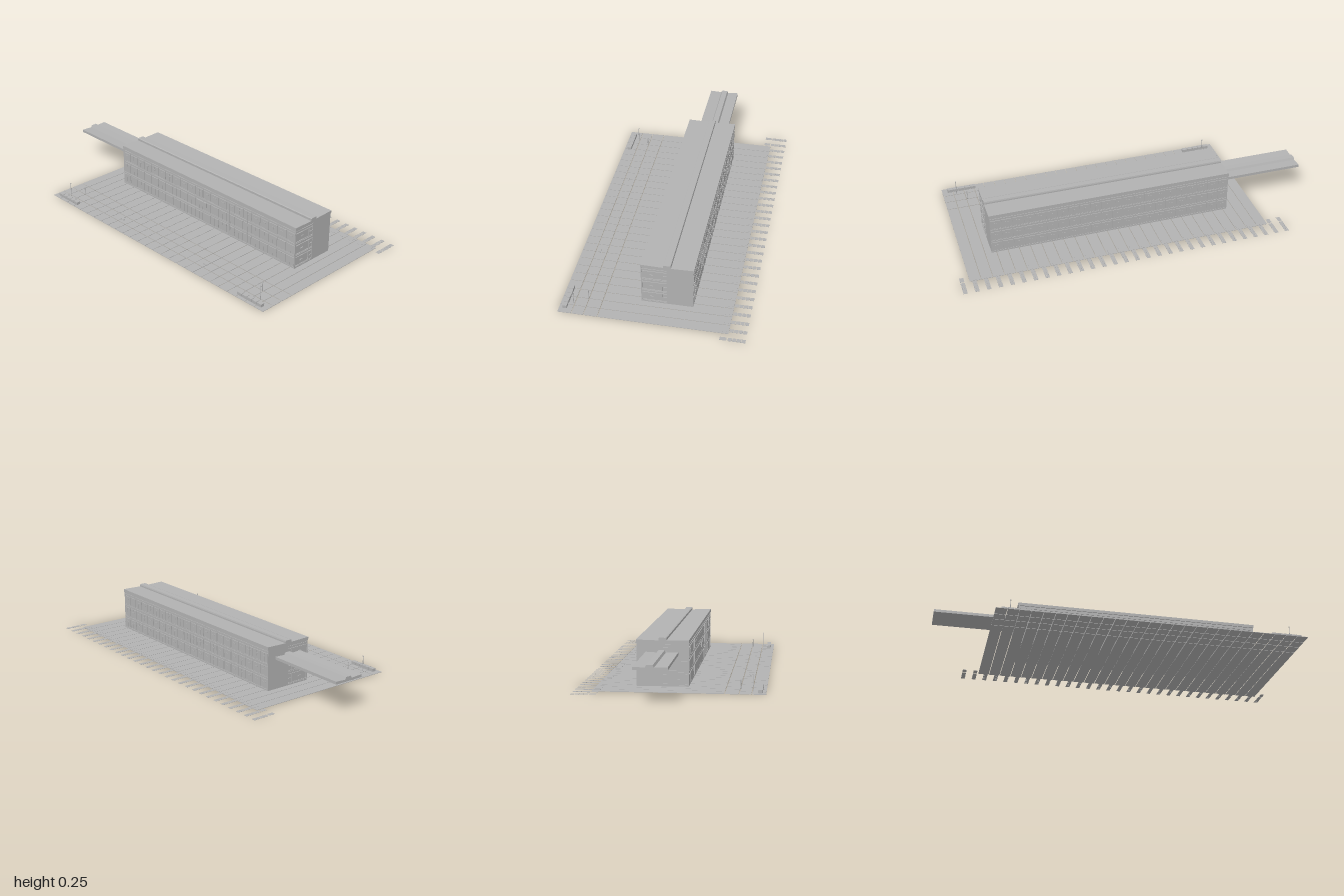
import * as THREE from 'three';

const concrete = new THREE.MeshStandardMaterial({ color: 0xb2b2b2 });
concrete.name = 'concrete grey';

// Box given by its minimum and maximum corners
function block(parent, name, x0, x1, y0, y1, z0, z1) {
  const mesh = new THREE.Mesh(new THREE.BoxGeometry(x1 - x0, y1 - y0, z1 - z0), concrete);
  mesh.position.set((x0 + x1) / 2, (y0 + y1) / 2, (z0 + z1) / 2);
  mesh.name = name;
  parent.add(mesh);
  return mesh;
}

function section(parent, name) {
  const group = new THREE.Group();
  group.name = name;
  parent.add(group);
  return group;
}

// Constant [z, y] cross-section swept from x0 to x1
function sweep(parent, name, points, x0, x1) {
  const shape = new THREE.Shape(points.map(([z, y]) => new THREE.Vector2(-z, y)));
  const geometry = new THREE.ExtrudeGeometry(shape, { depth: x1 - x0, bevelEnabled: false });
  geometry.rotateY(Math.PI / 2).translate(x0, 0, 0);
  const mesh = new THREE.Mesh(geometry, concrete);
  mesh.name = name;
  parent.add(mesh);
}

const X0 = -0.55, X1 = 0.79, FRONT = 0.08, BACK = -0.187;
const floors = [[0.012, 0.064], [0.08, 0.133], [0.152, 0.203]];

function addPaving(model) {
  const paving = section(model, 'paving');
  const rows = [[-0.39, 0.27], [0.274, 0.342], [0.346, 0.404], [0.408, 0.477]];
  const pitch = 1.66 / 27;
  for (let i = 0; i < 27; i++) {
    const x = -0.71 + i * pitch;
    for (const [z0, z1] of rows) block(paving, 'pavingSlab', x, x + pitch - 0.003, 0, 0.002, z0, z1);
  }
  // Rows of small flat stones along the back edge
  const strips = section(model, 'backStrips');
  for (let i = 0; i < 30; i++) {
    const x = -0.79 + i * 0.0612;
    block(strips, 'stripEnd', x - 0.011, x + 0.011, 0.002, 0.0028, -0.386, -0.352);
    for (let j = 0; j < 4; j++) {
      const z = -0.48 + j * 0.0225;
      block(strips, 'stripStone', x - 0.011, x + 0.011, 0.001, 0.002, z, z + 0.0205);
    }
  }
}

function addBuilding(model) {
  const building = section(model, 'building');
  block(building, 'core', X0 + 0.003, X1 - 0.003, 0.004, 0.236, BACK + 0.003, FRONT - 0.003);
  // Floor bands between storeys
  for (const [y0, y1] of [[0.002, 0.009], [0.068, 0.076], [0.138, 0.147], [0.208, 0.216]])
    block(building, 'floorBand', X0, X1, y0, y1, BACK, FRONT);

  // Long facades: one panel per bay and storey, with slim mullions and sills
  const bays = 22, pitch = (X1 - X0) / bays;
  for (const side of [1, -1]) {
    const facade = section(building, side > 0 ? 'frontFacade' : 'backFacade');
    const face = side > 0 ? FRONT : BACK;
    const span = (inner, outer) => [face + side * inner, face + side * outer].sort((a, b) => a - b);
    floors.forEach(([y0, y1], level) => {
      for (let i = 0; i < bays; i++) {
        const x = X0 + i * pitch;
        block(facade, 'windowPanel', x + 0.003, x + pitch - 0.003, y0, y1, ...span(-0.004, 0.001));
        block(facade, 'mullion', x + pitch / 2 - 0.001, x + pitch / 2 + 0.001, y0, y1, ...span(0, 0.002));
        if (level === 2 || side < 0) {
          const y = y0 + 0.032;
          block(facade, 'transom', x + 0.02, x + pitch - 0.02, y, y + 0.004, ...span(0, 0.003));
        }
      }
      block(facade, 'sill', X0 + 0.004, X1 - 0.004, y0, y0 + 0.003, ...span(0, 0.002));
    });
  }
  for (const x of [0.32, 0.455])
    block(building, 'downpipe', x - 0.003, x + 0.003, 0.01, 0.205, FRONT, FRONT + 0.004);
  block(building, 'wallBoard', 0.08, 0.155, 0.11, 0.137, FRONT + 0.006, FRONT + 0.011);
  for (const x of [0.09, 0.145])
    block(building, 'boardBracket', x - 0.002, x + 0.002, 0.12, 0.126, FRONT - 0.002, FRONT + 0.007);

  // End walls: glazed towards the front, solid towards the back
  for (const side of [1, -1]) {
    const end = section(building, side > 0 ? 'leftEndWall' : 'rightEndWall');
    const face = side > 0 ? X1 : X0;
    const plate = (name, depth, y0, y1, z0, z1) => {
      const [a, b] = [face - side * 0.004, face + side * depth].sort((p, q) => p - q);
      block(end, name, a, b, y0, y1, z0, z1);
    };
    plate('solidWall', 0, 0.004, 0.236, BACK, -0.052);
    plate('cornerPost', 0, 0.004, 0.236, 0.074, FRONT);
    for (const [y0, y1] of floors) {
      plate('mullion', 0.001, y0, y1, -0.028, -0.023);
      plate('windowHead', 0.001, y1 - 0.003, y1, -0.052, 0.074);
      plate('windowSill', 0.001, y0, y0 + 0.003, -0.052, 0.074);
      for (const z of [0.027, -0.043])
        plate('windowBar', 0.001, y0 + 0.022, y0 + 0.028, z - 0.009, z + 0.009);
    }
  }

  // Roof with a slight fall on both sides of a continuous ridge duct
  sweep(building, 'roof', [
    [FRONT + 0.002, 0.224], [FRONT + 0.002, 0.241], [-0.034, 0.238], [-0.074, 0.238],
    [BACK - 0.003, 0.241], [BACK - 0.003, 0.224],
  ], X0 - 0.002, X1 + 0.002);
  sweep(building, 'roofRidge', [
    [-0.034, 0.236], [-0.034, 0.25], [-0.04, 0.252], [-0.072, 0.252], [-0.074, 0.245], [-0.074, 0.236],
  ], X0 - 0.002, X1 + 0.002);
}

// Covered bridge reaching out from the end wall
function addBridge(model) {
  const bridge = section(model, 'bridge');
  sweep(bridge, 'bridgeDeck', [
    [0.028, 0.164], [0.028, 0.179], [-0.037, 0.176], [-0.043, 0.188], [-0.074, 0.188],
    [-0.08, 0.176], [-0.14, 0.179], [-0.14, 0.164],
  ], -1, X0);
}

function addPole(parent, x, z, height) {
  const pole = new THREE.Mesh(new THREE.CylinderGeometry(0.0015, 0.002, height, 8), concrete);
  pole.position.set(x, height / 2, z);
  pole.name = 'lampPole';
  parent.add(pole);
  block(parent, 'lampHead', x - 0.003, x + 0.003, height - 0.004, height, z - 0.002, z + 0.002);
}

function addForecourt(model) {
  const forecourt = section(model, 'forecourt');
  // Rows of planters at both front corners
  for (const start of [-0.68, 0.755])
    for (let i = 0; i < 5; i++) {
      const x = start + i * 0.033;
      block(forecourt, 'planter', x, x + 0.03, 0.002, 0.018, 0.437, 0.459);
    }
  addPole(forecourt, -0.63, 0.413, 0.085);
  addPole(forecourt, 0.87, 0.413, 0.085);
  addPole(forecourt, -0.585, 0.347, 0.052);
  addPole(forecourt, 0.82, 0.347, 0.052);
  // Low benches
  for (const x of [-0.21, 0.45]) {
    block(forecourt, 'benchSeat', x - 0.014, x + 0.014, 0.007, 0.009, 0.376, 0.384);
    for (const dx of [-0.01, 0.01])
      block(forecourt, 'benchLeg', x + dx - 0.002, x + dx + 0.002, 0.002, 0.007, 0.377, 0.383);
  }
}

export function createModel() {
  const model = new THREE.Group();
  model.name = 'terminalBuilding';
  addPaving(model);
  addBuilding(model);
  addBridge(model);
  addForecourt(model);
  return model;
}
